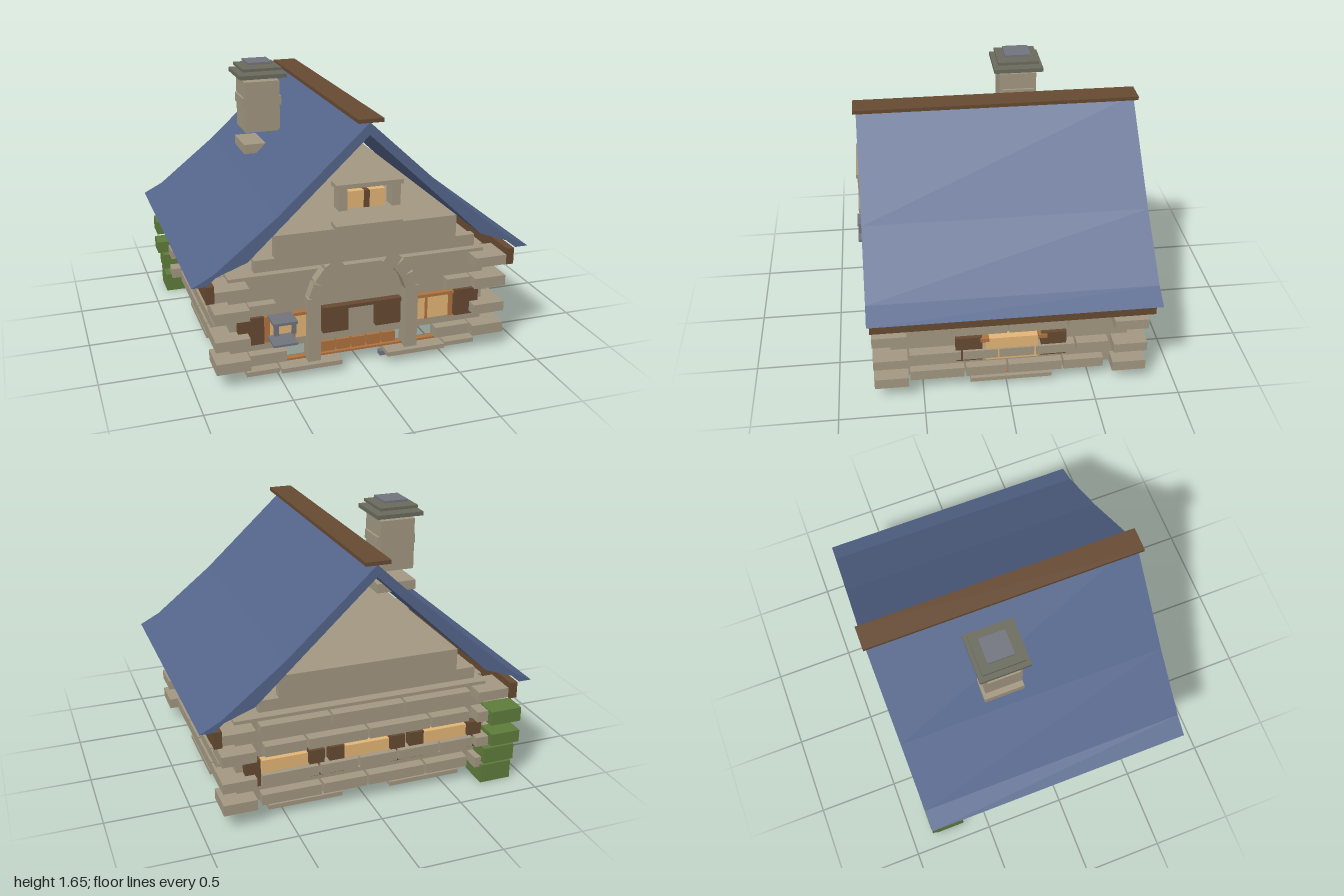
import * as THREE from 'three';

const mat = (name, color) => {
  const m = new THREE.MeshStandardMaterial({ color });
  m.name = name;
  return m;
};

export function createModel() {
  const root = new THREE.Group();
  root.name = 'cottage';
  const stone = mat('stone', 0xa29781);
  const roofBlue = mat('roofBlue', 0x54658b);
  const darkWood = mat('darkWood', 0x664a32);
  const warmWood = mat('warmWood', 0xaf7240);
  const glow = mat('windowGlow', 0xe4b576);
  const leaf = mat('leaf', 0x5f7c3b);
  const iron = mat('iron', 0x72747e);
  const capStone = mat('capStone', 0x6a6b5d);

  // box given by its extents along each axis
  const box = (name, m, x0, x1, y0, y1, z0, z1) => {
    const mesh = new THREE.Mesh(new THREE.BoxGeometry(x1 - x0, y1 - y0, z1 - z0), m);
    mesh.position.set((x0 + x1) / 2, (y0 + y1) / 2, (z0 + z1) / 2);
    mesh.name = name;
    root.add(mesh);
    return mesh;
  };
  // same box on the left (s = 1) or right (s = -1)
  const sideBox = (name, m, s, x0, x1, ...rest) =>
    s > 0 ? box(name, m, x0, x1, ...rest) : box(name, m, -x1, -x0, ...rest);
  // outward-facing sheet of the hollow house shell
  const sheet = (name, w, h, x, y, z, rx, ry) => {
    const mesh = new THREE.Mesh(new THREE.PlaneGeometry(w, h), stone);
    mesh.position.set(x, y, z);
    mesh.rotation.set(rx, ry, 0);
    mesh.name = name;
    root.add(mesh);
  };

  // hollow body: walls, recessed floor, wall top and attic deck
  sheet('frontWall', 1.55, 0.455, 0, 0.3925, 0.68, 0, 0);
  sheet('backWall', 1.55, 0.52, 0, 0.36, -0.72, 0, Math.PI);
  sheet('leftWall', 1.4, 0.52, 0.775, 0.36, -0.02, 0, Math.PI / 2);
  sheet('rightWall', 1.4, 0.52, -0.775, 0.36, -0.02, 0, -Math.PI / 2);
  sheet('floor', 1.55, 1.28, 0, 0.1, -0.08, Math.PI / 2, 0);
  sheet('wallTop', 1.55, 1.4, 0, 0.62, -0.02, -Math.PI / 2, 0);
  sheet('atticDeck', 1.074, 1.58, 0, 0.89, 0, -Math.PI / 2, 0);

  // roof: bent gable profile, open underneath
  const outer = [[0, 1.48], [0.52, 1.0], [0.88, 0.712], [1, 0.65]];
  const inner = [[0.92, 0.65], [0.865, 0.697], [0.69, 0.762], [0.4, 1.035], [0, 1.41]];
  const half = [...outer, ...inner];
  const mirrored = half.slice(1, -1).reverse().map(([x, y]) => [-x, y]);
  const profile = new THREE.Shape([...half, ...mirrored].map(p => new THREE.Vector2(...p)));
  const roof = new THREE.Mesh(
    new THREE.ExtrudeGeometry(profile, { depth: 1.657, bevelEnabled: false }), roofBlue);
  roof.position.z = -0.855;
  roof.name = 'roof';
  root.add(roof);
  box('ridgeBoard', darkWood, -0.073, 0.073, 1.482, 1.504, -0.87, 0.82);

  // stepped gable beams, overhanging the front and back walls
  for (const [z0, z1] of [[0.74, 0.79], [-0.79, -0.74]]) {
    box('lowerGableBeam', stone, -0.655, 0.655, 0.69, 0.76, z0, z1);
    box('upperGableBeam', stone, -0.537, 0.537, 0.76, 0.89, z0, z1);
  }

  // stone courses: [bottom, top, outer x, joints]
  const courses = [
    [0.1, 0.165, 0.825, [-0.58, -0.33, 0, 0.25, 0.58]],
    [0.24, 0.3, 0.84, [-0.6, -0.4, -0.16, 0.055, 0.27, 0.58]],
    [0.405, 0.47, 0.825, [-0.58, -0.35, 0, 0.33, 0.56]],
    [0.54, 0.6, 0.825, [-0.58, -0.2, 0.2, 0.58]],
  ];
  for (const [y0, y1, x1, joints] of courses) {
    for (let i = 0; i + 1 < joints.length; i++) {
      const a = joints[i] + 0.006, b = joints[i + 1] - 0.006;
      for (const s of [1, -1]) sideBox('sideCourse', stone, s, 0.76, x1, y0, y1, a, b);
      box('backCourse', stone, a * 1.12, b * 1.12, y0, y1, 0.04 - x1, -0.7);
    }
    // corner blocks
    for (const s of [1, -1]) {
      sideBox('frontCornerBlock', stone, s, 0.68, 0.877, y0, y1, 0.585, 0.785);
      sideBox('backCornerBlock', stone, s, 0.68, 0.877, y0, y1, -0.82, -0.62);
    }
  }

  for (const s of [1, -1]) {
    sideBox('eaveBeam', darkWood, s, 0.875, 0.92, 0.54, 0.64, -0.84, 0.79);

    // side window and shutters
    sideBox('sideWindow', glow, s, 0.77, 0.83, 0.22, 0.375, -0.175, 0.13);
    for (const [a, b] of [[0.15, 0.305], [-0.345, -0.195]]) {
      sideBox('sideShutter', darkWood, s, 0.77, 0.825, 0.22, 0.385, a, b);
    }
    for (const z of [0.14, -0.2]) {
      sideBox('sideWindowPeg', warmWood, s, 0.76, 0.835, 0.355, 0.38, z - 0.03, z + 0.02);
    }
    sideBox('sideSkirt', warmWood, s, 0.72, 0.8, 0.083, 0.097, -0.22, 0.18);
    sideBox('sidePaving', stone, s, 0.66, 0.82, 0.048, 0.075, -0.265, 0.22);

    // front windows, shutters and trim
    sideBox('frontWindow', glow, s, 0.335, 0.57, 0.22, 0.375, 0.67, 0.7);
    sideBox('frontMullion', warmWood, s, 0.4, 0.415, 0.22, 0.375, 0.7, 0.706);
    sideBox('frontWindowPost', warmWood, s, 0.55, 0.575, 0.22, 0.375, 0.67, 0.71);
    sideBox('frontShutter', darkWood, s, 0.585, 0.735, 0.22, 0.385, 0.67, 0.72);
    sideBox('frontWindowHead', warmWood, s, 0.33, 0.58, 0.362, 0.38, 0.67, 0.715);
    sideBox('doorShutter', darkWood, s, 0.085, 0.238, 0.23, 0.385, 0.67, 0.72);
    sideBox('frontCourse', stone, s, 0.46, 0.674, 0.1, 0.165, 0.66, 0.74);
    sideBox('frontUpperCourse', stone, s, 0.52, 0.674, 0.405, 0.47, 0.66, 0.74);

    // porch pier, base and arch stones
    sideBox('archPier', stone, s, 0.258, 0.335, 0.07, 0.465, 0.655, 0.745);
    sideBox('pierPaving', stone, s, 0.14, 0.5, 0.048, 0.075, 0.635, 0.78);
    sideBox('cornerPaving', stone, s, 0.51, 0.7, 0.048, 0.075, 0.635, 0.76);
    for (let i = 0; i < 3; i++) {
      const a = THREE.MathUtils.degToRad(20 + i * 17.5);
      const block = box('archStone', stone, -0.0385, 0.0385, -0.044, 0.044, 0.655, 0.745);
      block.position.x = s * 0.297 * Math.cos(a);
      block.position.y = 0.4 + 0.297 * Math.sin(a);
      block.rotation.z = s * a;
    }

    // gable window surround
    sideBox('gableWindowPost', stone, s, 0.13, 0.18, 1.0, 1.13, 0.73, 0.815);
    sideBox('gableWindowPane', glow, s, 0.015, 0.11, 0.99, 1.088, 0.71, 0.76);
  }

  // door lintel, porch slats and front skirt
  box('doorLintel', darkWood, -0.24, 0.24, 0.37, 0.39, 0.67, 0.725);
  for (let i = 0; i < 5; i++) {
    const x = -0.235 + i * 0.094;
    box('porchSlat', warmWood, x, x + 0.082, 0.092, 0.155, 0.6, 0.68);
  }
  box('frontSkirt', warmWood, -0.7, 0.75, 0.08, 0.092, 0.66, 0.7);

  // back windows with shutters
  for (const x of [-0.5, 0, 0.5]) {
    box('backWindow', glow, x - 0.135, x + 0.135, 0.22, 0.375, -0.765, -0.71);
    for (const s of [-1, 1]) {
      const c = x + s * 0.19;
      box('backShutter', darkWood, c - 0.045, c + 0.045, 0.22, 0.385, -0.77, -0.71);
    }
  }
  for (const s of [1, -1]) {
    sideBox('backPaving', stone, s, 0.15, 0.6, 0.048, 0.075, -0.76, -0.63);
  }

  // gable window
  box('gableWindowHead', stone, -0.195, 0.195, 1.125, 1.15, 0.73, 0.822);
  box('gableWindowSill', stone, -0.195, 0.195, 0.887, 0.914, 0.73, 0.822);
  box('gableMullion', darkWood, -0.016, 0.016, 0.99, 1.088, 0.71, 0.768);

  // chimney: separate base, shaft, band and stacked caps
  box('chimneyBase', stone, -0.485, -0.235, 1.1, 1.158, -0.315, -0.07);
  box('chimneyShaft', stone, -0.47, -0.255, 1.23, 1.54, -0.305, -0.078);
  box('chimneyBand', stone, -0.482, -0.24, 1.385, 1.44, -0.29, -0.095);
  box('chimneyCapLower', capStone, -0.507, -0.217, 1.563, 1.587, -0.342, -0.042);
  box('chimneyCapUpper', capStone, -0.482, -0.243, 1.605, 1.622, -0.318, -0.068);
  box('chimneyLid', iron, -0.438, -0.287, 1.637, 1.65, -0.272, -0.115);

  // lantern beside the porch and boot scraper
  box('lanternTop', iron, -0.57, -0.43, 0.39, 0.405, 0.735, 0.866);
  box('lanternFoot', iron, -0.57, -0.43, 0.262, 0.275, 0.735, 0.866);
  box('lanternLight', glow, -0.54, -0.46, 0.345, 0.39, 0.765, 0.848);
  for (const x of [-0.55, -0.45]) {
    box('lanternBracket', iron, x - 0.013, x + 0.013, 0.33, 0.39, 0.84, 0.86);
  }
  box('bootScraper', iron, 0.122, 0.172, 0.018, 0.045, 0.66, 0.7);

  // stacked hedge at the back corner
  box('hedgeBottom', leaf, -0.912, -0.715, 0, 0.117, -0.84, -0.65);
  box('hedgeLower', leaf, -0.917, -0.72, 0.137, 0.237, -0.855, -0.71);
  box('hedgeUpper', leaf, -0.947, -0.76, 0.25, 0.327, -0.86, -0.73);
  box('hedgeTop', leaf, -0.947, -0.75, 0.39, 0.478, -0.86, -0.72);

  return root;
}
